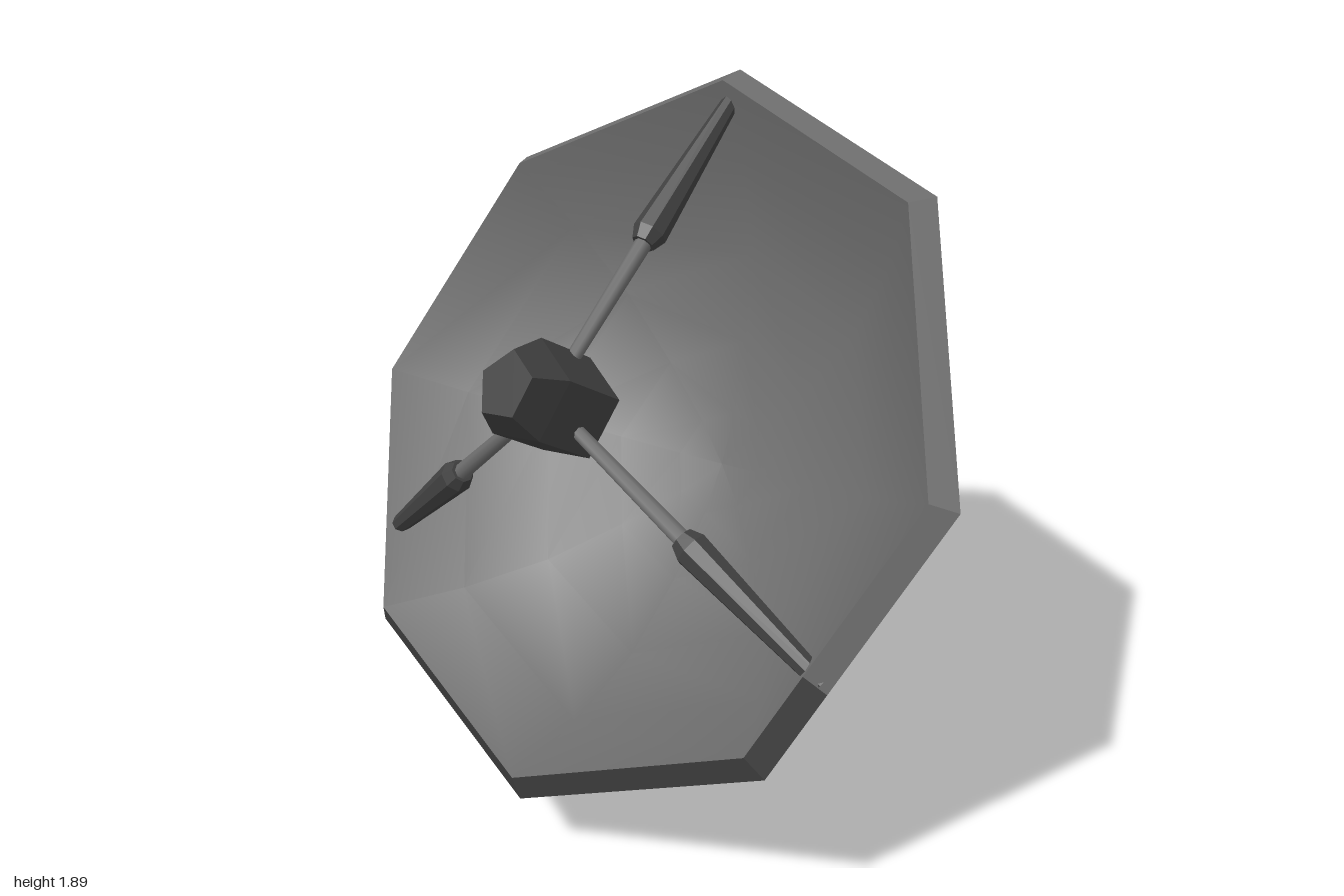
import * as THREE from 'three';
import { toCreasedNormals } from 'three/addons/utils/BufferGeometryUtils.js';
import { ConvexGeometry } from 'three/addons/geometries/ConvexGeometry.js';

const rad = THREE.MathUtils.degToRad;
const TURN = 8.4; // twist of the octagonal dish about its axis, degrees

export function createModel() {
  const model = new THREE.Group();
  model.name = 'satelliteDish';
  const grey = new THREE.MeshStandardMaterial({ color: 0x6c6c6c });
  grey.name = 'metal grey';
  const dark = new THREE.MeshStandardMaterial({ color: 0x404040 });
  dark.name = 'dark grey';

  const add = (parent, name, geometry, material) => {
    const mesh = new THREE.Mesh(geometry, material);
    mesh.name = name;
    parent.add(mesh);
    return mesh;
  };
  const lathe = (profile, sides, start = 0) =>
    new THREE.LatheGeometry(profile.map(([r, y]) => new THREE.Vector2(r, y)), sides, start);
  const faceted = (profile, sides, start) => toCreasedNormals(lathe(profile, sides, start), 0.4);

  // Foot and pole
  const foot = add(model, 'foot', faceted(
    [[0, 0], [0.129, 0], [0.129, 0.108], [0.108, 0.132], [0, 0.132]], 7, rad(12)), dark);
  foot.position.set(-0.015, 0, -0.489);
  const pole = add(model, 'pole', new THREE.CylinderGeometry(0.054, 0.054, 0.66, 10), grey);
  pole.position.set(-0.012, 0.45, -0.48);

  // Tilted head: local +y is the dish axis, local -z points up the dish
  const head = new THREE.Group();
  head.name = 'head';
  head.position.set(0, 1.05, 0.063);
  head.rotation.x = rad(57.7);
  model.add(head);

  // Smooth eight-sided bowl, back and front skins
  const start = rad(TURN + 90);
  add(head, 'dishBack', lathe(
    [[0, -0.475], [0.15, -0.468], [0.37, -0.418], [0.605, -0.337], [0.83, -0.174], [1.008, 0]], 8, start), grey);
  add(head, 'dishFront', lathe(
    [[0.955, 0.054], [0.79, -0.12], [0.58, -0.27], [0.35, -0.355], [0.15, -0.4], [0, -0.41]], 8, start), grey);

  // Bevelled rim, running along the octagon between the given stops
  const rimPoint = (s, r, y) => {
    const corner = (k) => new THREE.Vector3(
      r * Math.cos(rad(TURN + 45 * k)), y, -r * Math.sin(rad(TURN + 45 * k)));
    const k = Math.floor(s);
    return corner(k).lerp(corner(k + 1), s - k);
  };
  const rimStrip = (stops) => {
    const points = [];
    for (let i = 0; i < stops.length - 1; i++) {
      const a = rimPoint(stops[i], 1.008, 0), b = rimPoint(stops[i + 1], 1.008, 0);
      const c = rimPoint(stops[i + 1], 0.955, 0.054), d = rimPoint(stops[i], 0.955, 0.054);
      points.push(a, b, c, a, c, d);
    }
    const geometry = new THREE.BufferGeometry().setFromPoints(points);
    geometry.computeVertexNormals();
    return geometry;
  };
  add(head, 'rimUpper', rimStrip([7.33, 8, 9, 10, 11, 12, 12.45]), grey);
  add(head, 'rimLower', rimStrip([4.45, 5, 6, 7, 7.33]), dark);

  // Hub behind the bowl
  add(head, 'hub', faceted([[0, -0.647], [0.178, -0.647], [0.178, -0.44], [0, -0.44]], 8, start), dark);

  // Five-sided receiver with a smaller, offset nose
  const receiverPoints = [];
  for (const [r, y, x] of [[0.14, 0.22, 0], [0.14, 0.405, 0], [0.09, 0.515, 0.033]]) {
    for (let i = 0; i < 5; i++) {
      const a = rad(102 + 72 * i);
      receiverPoints.push(new THREE.Vector3(x + r * Math.cos(a), y, -r * Math.sin(a)));
    }
  }
  add(head, 'receiver', new ConvexGeometry(receiverPoints), dark);

  // Three struts, each a thin rod with a tapered sleeve at the rim end
  for (let i = 0; i < 3; i++) {
    const arm = new THREE.Group();
    arm.name = 'strut' + (i + 1);
    arm.rotation.y = rad(98.4 - 120 * i);
    const strut = new THREE.Group();
    strut.position.set(0.05, 0.315, 0);
    strut.rotation.z = Math.atan2(-0.315, 0.865) - Math.PI / 2;
    arm.add(strut);
    head.add(arm);
    const rod = add(strut, 'rod', new THREE.CylinderGeometry(0.024, 0.018, 0.5, 8), grey);
    rod.position.y = 0.25;
    add(strut, 'sleeve', faceted(
      [[0, 0.44], [0.032, 0.44], [0.047, 0.475], [0.024, 0.92], [0, 0.92]], 8), dark);
  }
  return model;
}
